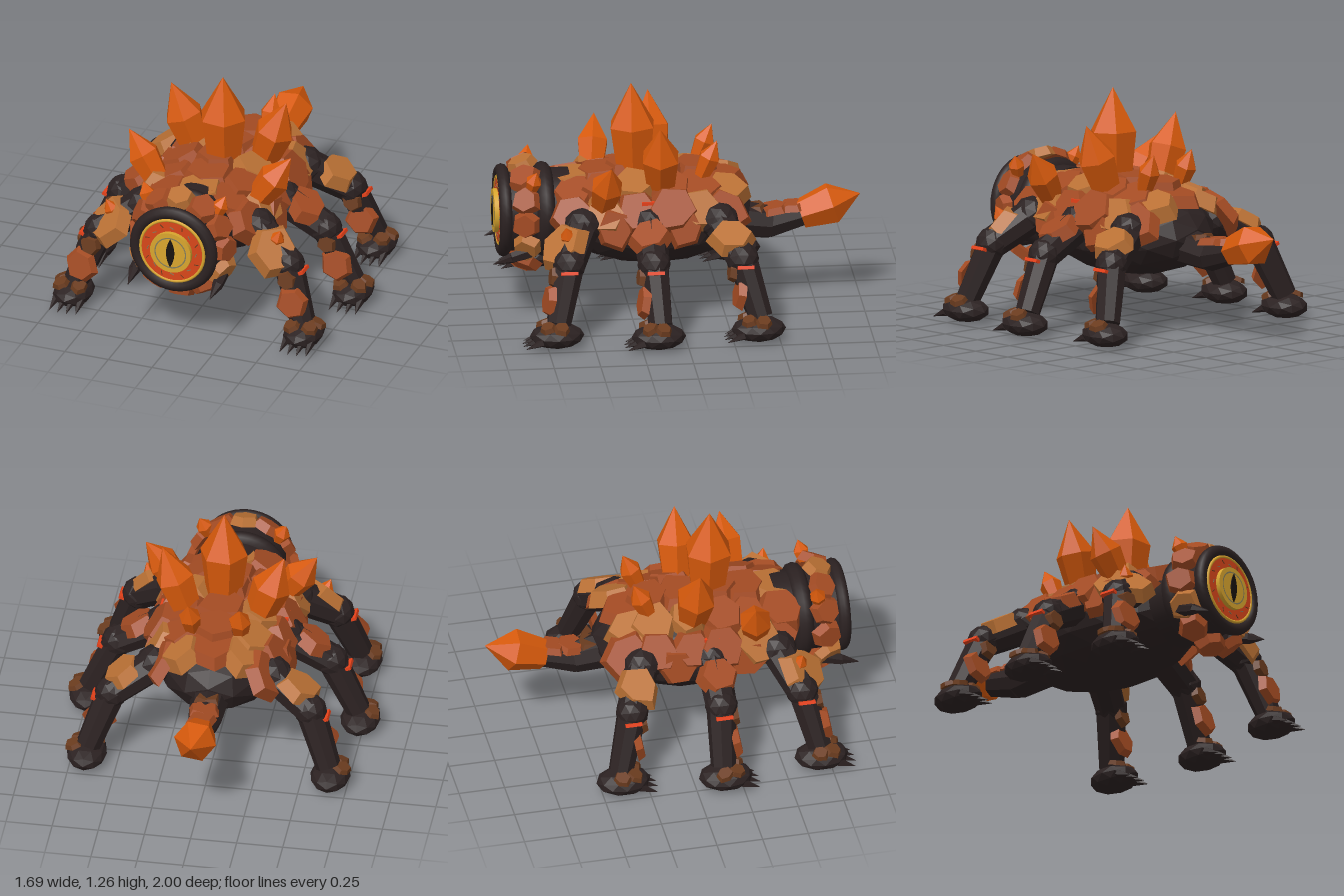
import * as THREE from 'three';

const mat = (name, color) => {
  const m = new THREE.MeshStandardMaterial({ color });
  m.name = name;
  return m;
};
const V = (x, y, z) => new THREE.Vector3(x, y, z);
const UP = V(0, 1, 0);

export function createModel() {
  const root = new THREE.Group();
  root.name = 'rockCreature';
  const dark = mat('charcoal hide', 0x2b2121), rust = mat('rust rock', 0xa34b23),
    tan = mat('tan rock', 0xb97034), umber = mat('umber rock', 0x6a3b1e),
    amber = mat('amber crystal', 0xd6590b), lava = mat('lava', 0xe8421a),
    gold = mat('gold', 0xd9a52e), red = mat('eye red', 0xd8461a),
    black = mat('pupil black', 0x17120f), grey = mat('grey ring', 0x827c5c);

  let seed = 7;
  const rnd = () => (seed = (seed * 16807) % 2147483647) / 2147483647;
  const group = (name) => {
    const g = new THREE.Group();
    g.name = name;
    root.add(g);
    return g;
  };
  const flat = (geo) => {
    const g = geo.index ? geo.toNonIndexed() : geo;
    g.computeVertexNormals();
    return g;
  };
  const add = (parent, name, geo, material, pos = V(0, 0, 0)) => {
    const m = new THREE.Mesh(geo, material);
    m.name = name;
    m.position.copy(pos);
    parent.add(m);
    return m;
  };
  const aim = (m, dir) => m.quaternion.setFromUnitVectors(UP, dir.clone().normalize());

  // irregular bevelled rock slab lying on a surface with the given normal
  const plate = (parent, name, pos, normal, r, t, material, stretch = 1) => {
    const geo = new THREE.CylinderGeometry(r * 0.78, r, t, 6);
    const f = Array.from({ length: 6 }, () => 0.86 + rnd() * 0.28);
    const p = geo.attributes.position;
    for (let i = 0; i < p.count; i++) {
      const k = (Math.round(Math.atan2(p.getZ(i), p.getX(i)) / (Math.PI / 3) + 0.5) + 6) % 6;
      p.setX(i, p.getX(i) * f[k]);
      p.setZ(i, p.getZ(i) * f[k] * stretch);
    }
    const m = add(parent, name, flat(geo), material, pos);
    aim(m, normal);
    m.rotateY((rnd() - 0.5) * 0.5);
  };
  // tapered segment between two points
  const limb = (parent, name, a, b, ra, rb, material, sides = 8) => {
    const d = b.clone().sub(a);
    const geo = flat(new THREE.CylinderGeometry(rb, ra, d.length(), sides));
    aim(add(parent, name, geo, material, a.clone().lerp(b, 0.5)), d);
  };
  // six-sided crystal from base to tip
  const crystal = (parent, name, a, b, r, shoulder = 0.55) => {
    const d = b.clone().sub(a), L = d.length();
    const pts = [[0, 0], [r * 0.72, 0], [r, L * shoulder], [0, L]].map(([x, y]) => new THREE.Vector2(x, y));
    const m = add(parent, name, flat(new THREE.LatheGeometry(pts, 6)), amber, a);
    aim(m, d);
    m.rotateY(0.4);
  };
  const ball = (parent, name, pos, sx, sy, sz, material, detail = 2) =>
    add(parent, name, flat(new THREE.IcosahedronGeometry(1, detail).scale(sx, sy, sz)), material, pos);

  // body and rock shell: each row is z, top height, half width, colours from right to left
  const body = group('body');
  ball(body, 'torso', V(0, 0.52, 0.12), 0.37, 0.25, 0.54, dark);
  const rows = [[-0.25, 0.725, 0.32, 'RTRTR'], [-0.11, 0.765, 0.35, 'RTRRT'], [0.06, 0.785, 0.37, 'RTRRR'],
    [0.24, 0.785, 0.37, 'RRRTR'], [0.42, 0.765, 0.36, 'TRRRT'], [0.56, 0.735, 0.32, 'RRTRR']];
  rows.forEach(([z, top, w, colours]) => {
    for (let i = -2; i <= 2; i++) {
      const a = i * 0.56, jz = (rnd() - 0.5) * 0.05;
      const pos = V(Math.sin(a) * w, 0.53 + (top - 0.53) * Math.cos(a), z + jz);
      const n = V(Math.sin(a) * 0.75, Math.cos(a), (z - 0.15) * 0.3);
      plate(body, 'shellPlate', pos, n, 0.125 + rnd() * 0.025, 0.06 + rnd() * 0.03,
        colours[i + 2] === 'T' ? tan : rust);
    }
  });
  for (const s of [-1, 1]) {
    for (const z of [-0.02, 0.36])
      plate(body, 'flankPlate', V(s * 0.365, 0.56, z), V(s, 0.25, 0), 0.12, 0.06, rust);
    add(body, 'lavaCrack', new THREE.BoxGeometry(0.02, 0.02, 0.08), lava, V(s * 0.338, 0.69, 0.17));
  }

  // back crystals
  const spikes = group('backCrystals');
  crystal(spikes, 'mainCrystal', V(0.015, 0.74, 0.22), V(0.015, 1.265, 0.235), 0.132);
  for (const s of [-1, 1]) {
    crystal(spikes, 'upperCrystal', V(s * 0.18, 0.7, 0.09), V(s * 0.33, 1.105, 0.11), 0.108);
    crystal(spikes, 'shoulderCrystal', V(s * 0.27, 0.65, 0.42), V(s * 0.465, 0.935, 0.385), 0.09);
    crystal(spikes, 'rearCrystal', V(s * 0.13, 0.76, -0.13), V(s * 0.14, 0.965, -0.215), 0.06);
  }

  // tail
  const tail = group('tail');
  limb(tail, 'tailBase', V(0, 0.48, -0.28), V(0, 0.445, -0.52), 0.11, 0.09, dark);
  limb(tail, 'tailEnd', V(0, 0.445, -0.5), V(0, 0.5, -0.74), 0.09, 0.065, dark);
  [[-0.43, 0.53, 0.075, umber], [-0.53, 0.525, 0.085, rust], [-0.63, 0.535, 0.085, rust]].forEach(([z, y, r, m]) =>
    plate(tail, 'tailPlate', V(0, y, z), V(0, 1, 0.12), r, 0.035, m));
  crystal(tail, 'tailCrystal', V(0, 0.485, -0.68), V(0, 0.59, -1), 0.115, 0.53);

  // legs: joints, then thigh armour as position, normal and radius
  const legs = [
    { n: 'front', hip: [0.33, 0.57, 0.53], knee: [0.54, 0.43, 0.62], foot: [0.66, 0.075, 0.7], m: tan,
      at: [0.475, 0.505, 0.645], normal: [0.5, 0.65, 0.6], r: 0.145 },
    { n: 'middle', hip: [0.33, 0.57, 0.17], knee: [0.58, 0.43, 0.17], foot: [0.735, 0.075, 0.16], m: rust,
      at: [0.475, 0.55, 0.18], normal: [0.5, 0.85, 0.15], r: 0.13 },
    { n: 'rear', hip: [0.32, 0.57, -0.21], knee: [0.54, 0.43, -0.31], foot: [0.66, 0.075, -0.385], m: tan,
      at: [0.48, 0.54, -0.26], normal: [0.55, 0.85, 0], r: 0.125 },
  ];
  for (const s of [-1, 1]) for (const l of legs) {
    const g = group(l.n + (s > 0 ? 'LeftLeg' : 'RightLeg'));
    const [hip, knee, foot, at, normal] = [l.hip, l.knee, l.foot, l.at, l.normal].map(([x, y, z]) => V(s * x, y, z));
    const ankle = foot.clone().add(V(-s * 0.01, 0.06, -0.01));
    ball(g, 'hip', hip, 0.105, 0.105, 0.105, dark, 1);
    limb(g, 'thigh', hip, knee, 0.095, 0.085, dark);
    ball(g, 'knee', knee, 0.09, 0.09, 0.09, dark, 1);
    limb(g, 'shin', knee, ankle, 0.082, 0.068, dark);
    plate(g, 'thighPlate', at, normal, l.r, 0.07, l.m);
    // glowing crack on the outside of the knee
    const crack = add(g, 'lavaCrack', new THREE.BoxGeometry(0.03, 0.018, 0.09), lava,
      knee.clone().lerp(ankle, 0.12).add(V(s * 0.075, 0.015, 0)));
    crack.rotation.z = s * 0.4;
    // shin armour facing forward
    plate(g, 'upperShinPlate', knee.clone().lerp(ankle, 0.2).add(V(0, 0, 0.075)), V(s * 0.1, 0.15, 1), 0.06, 0.035, umber);
    plate(g, 'shinPlate', knee.clone().lerp(ankle, 0.6).add(V(0, 0, 0.075)), V(s * 0.1, 0.2, 1), 0.09, 0.04, rust, 1.1);
    // foot, cuff and claws
    ball(g, 'foot', foot, 0.108, 0.068, 0.147, dark, 1);
    for (const [dx, dz] of [[-0.05, 0.06], [0.05, 0.055], [0.07, -0.02]])
      plate(g, 'footPlate', foot.clone().add(V(s * dx, 0.063, dz)), V(s * dx * 6, 1, dz * 6), 0.05, 0.025, umber);
    for (let i = -1.5; i <= 1.5; i++) {
      const a = foot.clone().add(V(i * 0.045, -0.015, 0.1 - Math.abs(i) * 0.012));
      limb(g, 'claw', a, a.clone().add(V(i * 0.005, -0.035, 0.09)), 0.025, 0.001, dark, 5);
    }
    if (l.n === 'front') crystal(g, 'legCrystal', V(s * 0.455, 0.52, 0.61), V(s * 0.5, 0.625, 0.635), 0.042, 0.5);
  }

  // head: neck, rock collar and mandible spikes
  const head = group('head'), cy = 0.565;
  const disc = (name, r, depth, z, m) =>
    add(head, name, new THREE.CylinderGeometry(r, r, depth, 40).rotateX(Math.PI / 2), m, V(0, cy, z));
  const ring = (name, r, tube, z, m) =>
    add(head, name, new THREE.TorusGeometry(r, tube, 10, 40), m, V(0, cy, z));
  disc('neck', 0.22, 0.36, 0.75, dark);
  ring('neckRing', 0.205, 0.05, 0.71, dark);
  for (let i = 0; i < 12; i++) {
    const a = (i / 12) * Math.PI * 2, c = Math.sin(a), d = Math.cos(a);
    const r = 0.262 + Math.max(0, -d) * 0.03;
    plate(head, 'collarPlate', V(c * r, cy + d * r, 0.825), V(c, d, 0.4), 0.088, 0.05, i % 4 === 0 ? tan : rust);
  }
  for (const s of [-1, 1]) {
    crystal(head, 'browCrystal', V(s * 0.19, 0.74, 0.79), V(s * 0.235, 0.85, 0.765), 0.045, 0.5);
    limb(head, 'mandible', V(s * 0.23, 0.41, 0.78), V(s * 0.24, 0.375, 0.9), 0.04, 0.03, dark, 6);
    limb(head, 'mandibleTip', V(s * 0.24, 0.375, 0.9), V(s * 0.235, 0.34, 1), 0.03, 0.001, dark, 6);
  }

  // eye
  ring('eyeRim', 0.216, 0.034, 0.927, dark);
  disc('eyeSocket', 0.2, 0.04, 0.925, black);
  ring('outerGoldRing', 0.181, 0.009, 0.948, gold);
  disc('eyeball', 0.178, 0.03, 0.938, red);
  for (let i = 0; i < 16; i++) {
    const a = (i / 16) * Math.PI * 2, r = i % 2 ? 0.152 : 0.138;
    const m = add(head, 'irisMark', new THREE.BoxGeometry(0.024, 0.004, 0.004), i % 2 ? umber : grey,
      V(Math.cos(a) * r, cy + Math.sin(a) * r, 0.954));
    m.rotation.z = a + (i % 2 ? 0.5 : 1.2);
  }
  disc('iris', 0.117, 0.03, 0.962, gold);
  add(head, 'irisRing', new THREE.RingGeometry(0.084, 0.091, 40), grey, V(0, cy, 0.978));
  const slit = new THREE.Shape();
  slit.moveTo(0, -0.083);
  slit.quadraticCurveTo(0.046, 0, 0, 0.083);
  slit.quadraticCurveTo(-0.046, 0, 0, -0.083);
  add(head, 'pupil', new THREE.ExtrudeGeometry(slit, { depth: 0.006, bevelEnabled: false }), black, V(0, cy, 0.977));

  return root;
}
